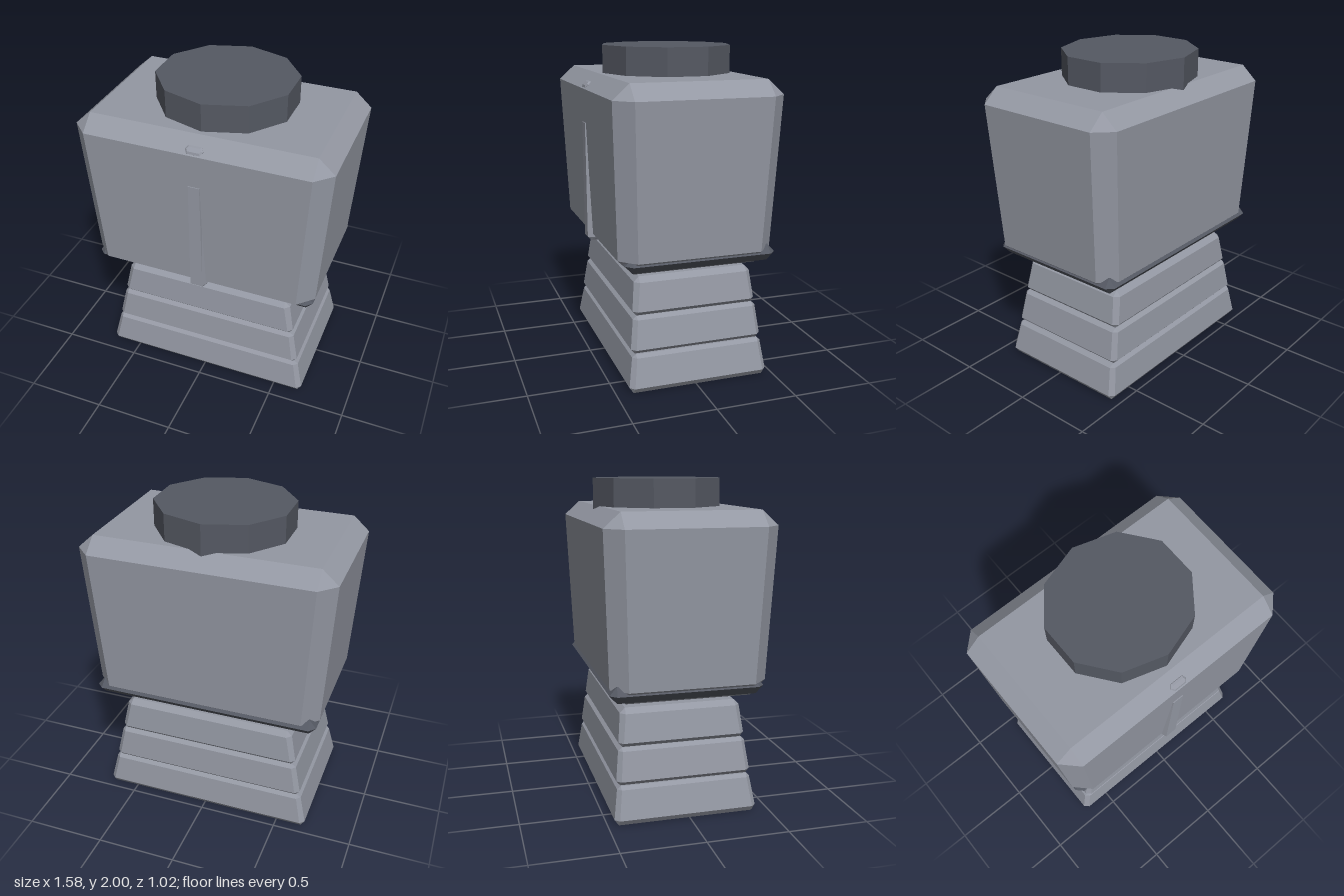
import * as THREE from 'three';

const armour = new THREE.MeshStandardMaterial({ color: 0x9498a3 });
armour.name = 'light grey';
const dark = new THREE.MeshStandardMaterial({ color: 0x555963 });
dark.name = 'dark grey';

// Closed faceted solid through equal-length rings, ordered bottom to top
function loft(name, rings, material) {
  const pos = [];
  const tri = (a, b, c) => {
    const t = new THREE.Triangle(...[a, b, c].map((p) => new THREE.Vector3(...p)));
    if (t.getArea() > 1e-8) pos.push(...a, ...b, ...c);
  };
  const n = rings[0].length;
  for (let r = 0; r < rings.length - 1; r++) {
    for (let i = 0; i < n; i++) {
      const j = (i + 1) % n, lo = rings[r], up = rings[r + 1];
      tri(lo[i], lo[j], up[j]);
      tri(lo[i], up[j], up[i]);
    }
  }
  const bottom = rings[0], top = rings[rings.length - 1];
  for (let i = 1; i < n - 1; i++) {
    tri(bottom[0], bottom[i + 1], bottom[i]);
    tri(top[0], top[i], top[i + 1]);
  }
  const geo = new THREE.BufferGeometry();
  geo.setAttribute('position', new THREE.Float32BufferAttribute(pos, 3));
  geo.computeVertexNormals();
  const mesh = new THREE.Mesh(geo, material);
  mesh.name = name;
  return mesh;
}

// Rectangle with cut corners: height, half width, front z, back z, corner cut
function ring([y, w, f, b, c]) {
  return [
    [c - w, y, f], [w - c, y, f], [w, y, f - c], [w, y, b + c],
    [w - c, y, b], [c - w, y, b], [-w, y, b + c], [-w, y, f - c],
  ];
}
const block = (name, rows, material) => loft(name, rows.map(ring), material);

export function createModel() {
  const model = new THREE.Group();
  model.name = 'torso';

  // Chest, widening upwards, with bevelled edges
  model.add(block('chest', [
    [0.73, 0.635, 0.38, -0.38, 0],
    [0.82, 0.73, 0.475, -0.475, 0.095],
    [1.74, 0.79, 0.51, -0.51, 0.1],
    [1.83, 0.69, 0.41, -0.41, 0],
  ], armour));

  // Dark trim round the lower edge of the chest
  model.add(block('lowerTrim', [
    [0.75, 0.68, 0.4, -0.44, 0],
    [0.8, 0.725, 0.445, -0.485, 0.04],
    [0.85, 0.68, 0.4, -0.44, 0],
  ], dark));

  // Three stacked waist plates
  const plates = [
    [[0, 0.665, 0.395, -0.435, 0], [0.035, 0.69, 0.42, -0.46, 0.028],
      [0.21, 0.65, 0.392, -0.436, 0.025], [0.23, 0.63, 0.37, -0.415, 0]],
    [[0.228, 0.615, 0.37, -0.412, 0], [0.255, 0.64, 0.395, -0.437, 0.028],
      [0.43, 0.603, 0.372, -0.417, 0.025], [0.45, 0.58, 0.35, -0.395, 0]],
    [[0.448, 0.57, 0.345, -0.388, 0], [0.475, 0.594, 0.37, -0.412, 0.028],
      [0.645, 0.56, 0.35, -0.394, 0.03], [0.676, 0.525, 0.318, -0.362, 0]],
  ];
  plates.forEach((rows, i) => model.add(block(`waistPlate${i + 1}`, rows, armour)));

  // Ten-sided neck
  const neckGeo = new THREE.CylinderGeometry(0.408, 0.408, 0.25, 10).toNonIndexed();
  neckGeo.computeVertexNormals();
  const neck = new THREE.Mesh(neckGeo, dark);
  neck.name = 'neck';
  neck.scale.x = 1.058;
  neck.position.set(0, 1.875, -0.027);
  model.add(neck);

  // Tapering ridge down the front of the chest
  const ridgeRing = (y, outer, inner, back, front) => [
    [-outer, y, back], [-inner, y, front], [inner, y, front], [outer, y, back],
  ];
  model.add(loft('chestRidge', [
    ridgeRing(0.78, 0.055, 0.035, 0.42, 0.485),
    ridgeRing(0.8, 0.064, 0.04, 0.44, 0.507),
    ridgeRing(1.53, 0.038, 0.035, 0.48, 0.508),
  ], armour));

  // Small six-sided stud on the front bevel
  const hex = (y, w, flat, d) => [
    [-flat, y, d], [flat, y, d], [w, y, 0], [flat, y, -d], [-flat, y, -d], [-w, y, 0],
  ];
  const stud = loft('collarStud', [
    hex(-0.02, 0.056, 0.04, 0.026),
    hex(0.004, 0.056, 0.04, 0.026),
    hex(0.012, 0.045, 0.036, 0.014),
  ], armour);
  stud.position.set(0, 1.763, 0.482);
  stud.rotation.x = Math.PI / 4;
  model.add(stud);

  return model;
}
